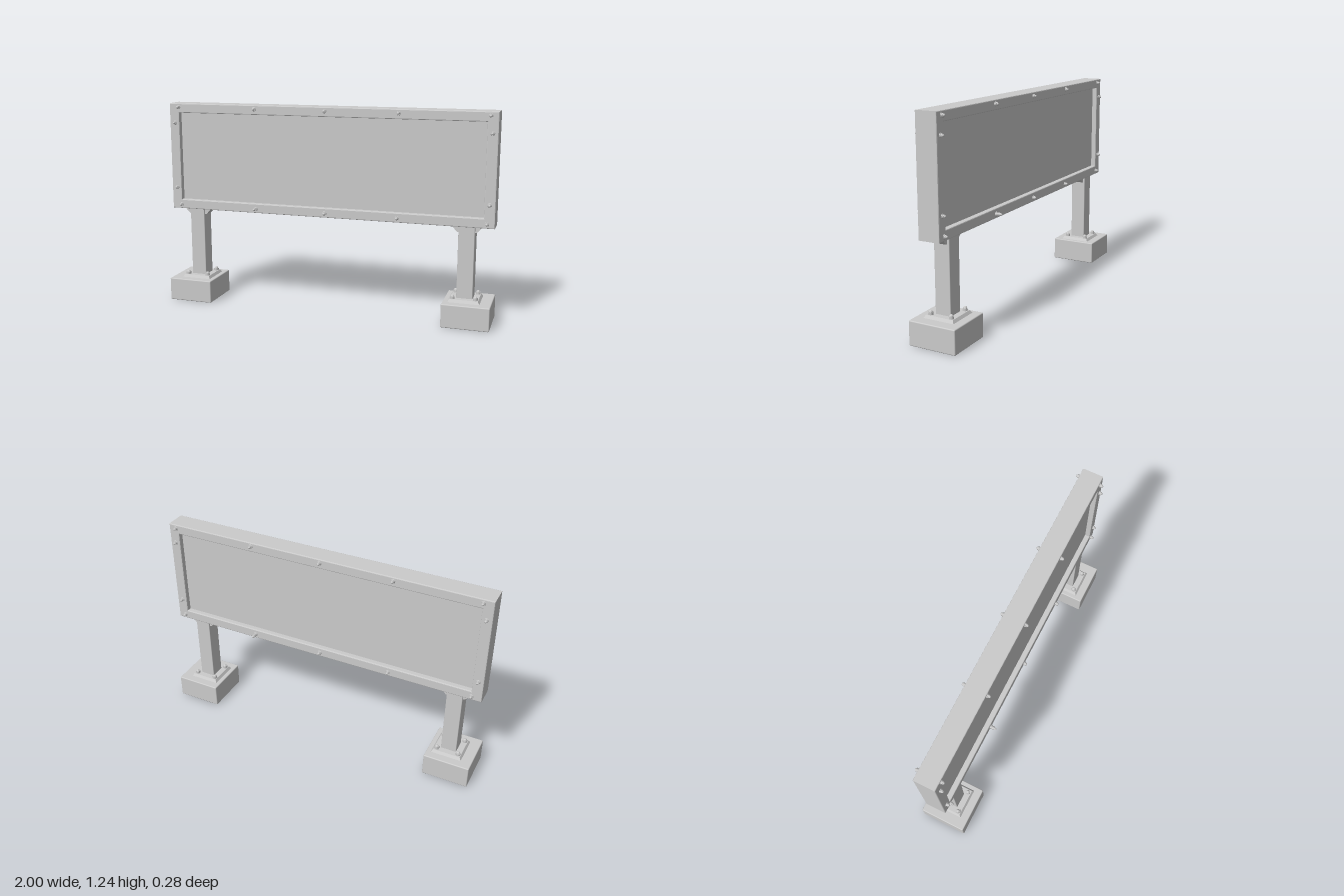
import * as THREE from 'three';
import { RoundedBoxGeometry } from 'three/addons/geometries/RoundedBoxGeometry.js';

const material = new THREE.MeshStandardMaterial({ color: 0xcccccc });

function add(parent, name, geometry, x = 0, y = 0, z = 0) {
  const mesh = new THREE.Mesh(geometry, material);
  mesh.name = name;
  mesh.position.set(x, y, z);
  parent.add(mesh);
  return mesh;
}

function rectangle(target, x0, y0, x1, y1) {
  target.moveTo(x0, y0);
  target.lineTo(x1, y0);
  target.lineTo(x1, y1);
  target.lineTo(x0, y1);
  target.closePath();
  return target;
}

// Bolt standing on y = 0: washer, hexagonal nut and domed tip
function makeBolt(name, radius, height) {
  const bolt = new THREE.Group();
  bolt.name = name;
  const washer = height * 0.2;
  const nut = height * 0.45;
  add(bolt, 'washer', new THREE.CylinderGeometry(radius, radius * 1.15, washer, 12), 0, washer / 2, 0);
  add(bolt, 'nut', new THREE.CylinderGeometry(radius * 0.85, radius * 0.9, nut, 6), 0, washer + nut / 2, 0);
  const tip = add(bolt, 'tip', new THREE.SphereGeometry(radius * 0.65, 10, 5, 0, Math.PI * 2, 0, Math.PI / 2), 0, washer + nut, 0);
  tip.scale.y = (height * 0.35) / (radius * 0.65);
  return bolt;
}

function makeSupport(side) {
  const support = new THREE.Group();
  support.name = side > 0 ? 'leftSupport' : 'rightSupport';

  // Concrete footing, with its outer face flush with the frame end
  add(support, 'footing', new RoundedBoxGeometry(0.278, 0.14, 0.284, 2, 0.006), side * 0.861, 0.07, 0);

  const stand = new THREE.Group();
  stand.name = 'stand';
  stand.position.x = side * 0.842;
  support.add(stand);
  add(stand, 'post', new RoundedBoxGeometry(0.094, 0.46, 0.094, 2, 0.004), 0, 0.37, 0);

  // Sloping base plate
  const plate = new THREE.CylinderGeometry(0.165 / Math.SQRT2, 0.188 / Math.SQRT2, 0.018, 4, 1);
  plate.rotateY(Math.PI / 4);
  const flatPlate = plate.toNonIndexed();
  flatPlate.computeVertexNormals();
  add(stand, 'basePlate', flatPlate, 0, 0.147, 0);

  // Triangular brackets between post and frame
  const wedge = new THREE.Shape();
  wedge.moveTo(0.044, 0.59);
  wedge.lineTo(0.044, 0.545);
  wedge.lineTo(0.056, 0.545);
  wedge.lineTo(0.082, 0.572);
  wedge.lineTo(0.082, 0.59);
  const wedgeGeometry = new THREE.ExtrudeGeometry(wedge, { depth: 0.07, bevelEnabled: false });
  wedgeGeometry.translate(0, 0, -0.035);

  for (const sx of [-1, 1]) {
    const bracket = add(stand, 'bracket', wedgeGeometry);
    if (sx < 0) bracket.rotation.y = Math.PI;
    for (const sz of [-1, 1]) {
      const bolt = makeBolt('anchorBolt', 0.017, 0.03);
      bolt.position.set(sx * 0.066, 0.15, sz * 0.064);
      stand.add(bolt);
    }
  }
  return support;
}

export function createModel() {
  const model = new THREE.Group();
  model.name = 'signBoard';

  // Hollow frame with a narrow bevel on every edge
  const bevel = 0.005;
  const outline = rectangle(new THREE.Shape(), -1 + bevel, 0.58 + bevel, 1 - bevel, 1.235 - bevel);
  outline.holes.push(rectangle(new THREE.Path(), -0.937 - bevel, 0.637 - bevel, 0.937 + bevel, 1.178 + bevel));
  const frame = new THREE.ExtrudeGeometry(outline, {
    depth: 0.126 - 2 * bevel, bevelThickness: bevel, bevelSize: bevel, bevelSegments: 2,
  });
  frame.translate(0, 0, -0.063 + bevel);
  add(model, 'frame', frame);

  // Recessed sign panel
  add(model, 'panel', new THREE.BoxGeometry(1.89, 0.56, 0.064), 0, 0.9075, 0);

  // Bolts around the frame on both faces
  const spots = [];
  for (const x of [-0.94, -0.44, 0, 0.44, 0.955]) spots.push([x, 1.212], [x, 0.605]);
  for (const x of [-0.967, 0.967]) spots.push([x, 1.115], [x, 0.713]);
  for (const face of [-1, 1]) {
    for (const [x, y] of spots) {
      // A bolt on each face has worked loose and stands out further
      const loose = Math.abs(x - face * -0.44) < 0.01 && y < 0.7;
      const bolt = makeBolt('frameBolt', 0.012, loose ? 0.04 : 0.022);
      bolt.position.set(x, y, face * 0.062);
      bolt.rotation.x = face * Math.PI / 2;
      model.add(bolt);
    }
  }

  model.add(makeSupport(1), makeSupport(-1));
  return model;
}
